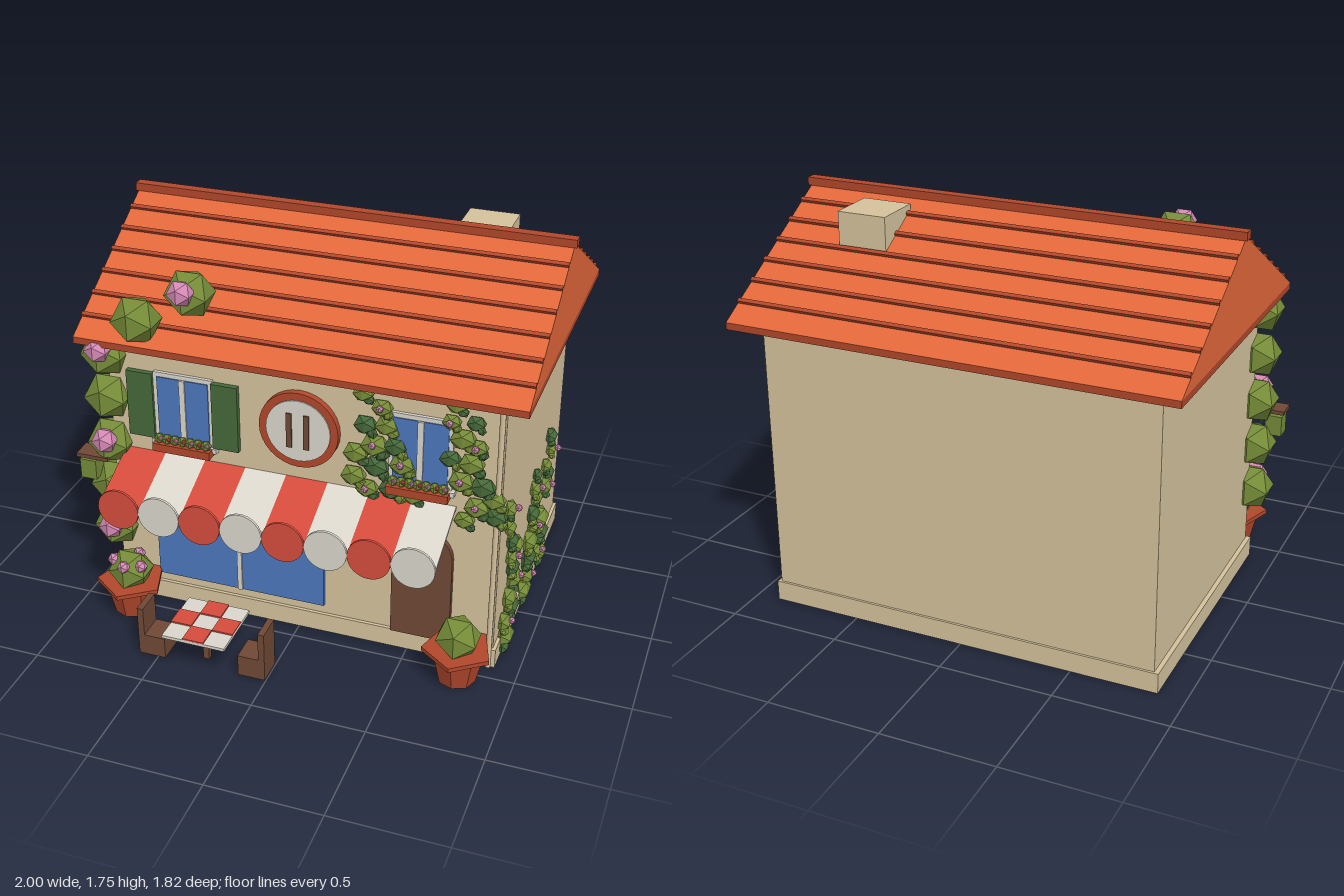
import * as THREE from 'three';

const material = (name, color) => {
  const m = new THREE.MeshStandardMaterial({ color });
  m.name = name;
  return m;
};

export function createModel() {
  const model = new THREE.Group();
  model.name = 'cottageShop';
  const wall = material('plaster', 0xd6c39d), tile = material('roofTile', 0xe2673a);
  const brick = material('terracotta', 0xb2482b), pale = material('offWhite', 0xdbd7cd);
  const red = material('awningRed', 0xd64c3d), blue = material('glassBlue', 0x4e78bd);
  const brown = material('darkWood', 0x704936), dark = material('shutterGreen', 0x46693a);
  const leaf = material('leafGreen', 0x768c38), pink = material('blossomPink', 0xd489b4);

  const add = (name, geometry, mat, x = 0, y = 0, z = 0) => {
    const mesh = new THREE.Mesh(geometry, mat);
    mesh.name = name;
    mesh.position.set(x, y, z);
    model.add(mesh);
    return mesh;
  };
  // Box given by its extents
  const box = (name, mat, x0, x1, y0, y1, z0, z1) =>
    add(name, new THREE.BoxGeometry(x1 - x0, y1 - y0, z1 - z0), mat, (x0 + x1) / 2, (y0 + y1) / 2, (z0 + z1) / 2);
  const ball = (name, mat, x, y, z, r) => add(name, new THREE.IcosahedronGeometry(r, 0), mat, x, y, z);
  const facet = (geometry) => {
    const g = geometry.toNonIndexed();
    g.computeVertexNormals();
    return g;
  };
  const disc = (name, mat, r, depth, x, y, z) =>
    add(name, new THREE.CylinderGeometry(r, r, depth, 32).rotateX(Math.PI / 2), mat, x, y, z);

  // House body
  box('walls', wall, -0.86, 0.88, 0, 1.3, -0.805, 0.41);
  box('plinth', wall, -0.88, 0.895, 0, 0.09, -0.815, 0.425);
  add('drainPipe', new THREE.CylinderGeometry(0.012, 0.012, 1.29, 10), wall, 0.865, 0.645, 0.425);

  // Roof: eaves slab, gabled prism, battens and ridge
  const x0 = -0.965, x1 = 0.985, length = x1 - x0, ridgeZ = -0.2, slope = Math.PI / 6;
  box('eaves', brick, x0, x1, 1.29, 1.32, -0.91, 0.51);
  const gable = new THREE.Shape([[-0.51, 1.32], [0.91, 1.32], [0.2, 1.73]].map((p) => new THREE.Vector2(...p)));
  const prism = new THREE.ExtrudeGeometry(gable, { depth: length, bevelEnabled: false }).rotateY(Math.PI / 2);
  add('roof', prism, tile, x0, 0, 0);
  for (const side of [-1, 1]) {
    for (let k = 1; k <= 6; k++) {
      const run = k * 0.102;
      const batten = add('roofBatten', new THREE.BoxGeometry(length, 0.016, 0.018), brick,
        (x0 + x1) / 2, 1.736 - run * 0.577, ridgeZ + side * run);
      batten.rotation.x = side * slope;
    }
  }
  box('ridgeCap', brick, -0.975, 0.997, 1.72, 1.755, -0.225, -0.178);
  box('chimney', wall, 0.47, 0.69, 1.45, 1.71, -0.49, -0.27);

  // Upper windows with sills and flower boxes
  for (const cx of [-0.513, 0.535]) {
    box('windowFrame', pale, cx - 0.135, cx + 0.135, 0.84, 1.17, 0.405, 0.425);
    box('windowGlass', blue, cx - 0.117, cx + 0.117, 0.86, 1.15, 0.424, 0.43);
    box('windowBar', pale, cx - 0.013, cx + 0.013, 0.86, 1.15, 0.424, 0.436);
    box('windowSill', pale, cx - 0.15, cx + 0.15, 0.825, 0.848, 0.405, 0.44);
    box('flowerBox', brick, cx - 0.132, cx + 0.132, 0.81, 0.847, 0.42, 0.475);
    for (let i = 0; i < 7; i++) {
      const x = cx - 0.108 + i * 0.036;
      ball('boxFoliage', leaf, x, 0.862, 0.447, 0.025);
      ball('boxFlower', i % 2 ? red : pink, x + 0.012, 0.872, 0.464, 0.011);
    }
  }
  for (const [a, b] of [[-0.77, -0.65], [-0.38, -0.262]]) box('shutter', dark, a, b, 0.85, 1.16, 0.405, 0.435);

  // Round wall sign
  disc('signRim', brick, 0.175, 0.03, 0.012, 1.015, 0.425);
  disc('signFace', pale, 0.142, 0.006, 0.012, 1.015, 0.443);
  for (const x of [-0.026, 0.05]) box('signBar', brown, x - 0.012, x + 0.012, 0.935, 1.095, 0.445, 0.453);

  // Shop window and arched door
  box('shopGlass', blue, -0.668, 0.118, 0.14, 0.575, 0.405, 0.43);
  box('shopWindowBar', pale, -0.285, -0.264, 0.14, 0.575, 0.41, 0.438);
  const arch = new THREE.Shape();
  arch.moveTo(-0.132, 0.09);
  arch.lineTo(0.132, 0.09);
  arch.lineTo(0.132, 0.505);
  arch.absarc(0, 0.505, 0.132, 0, Math.PI, false);
  arch.closePath();
  add('door', new THREE.ExtrudeGeometry(arch, { depth: 0.03, bevelEnabled: false }), brown, 0.558, 0, 0.405);

  // Striped awning with a scalloped edge
  const stripe = 0.1863;
  for (let i = 0; i < 8; i++) {
    const x = -0.8 + (i + 0.5) * stripe, mat = i % 2 ? pale : red;
    const panel = add('awningStripe', new THREE.BoxGeometry(stripe, 0.012, 0.318), mat, x, 0.703, 0.557);
    panel.rotation.x = Math.atan2(0.125, 0.29);
    disc('awningScallop', mat, stripe / 2, 0.012, x, 0.637, 0.706);
  }

  // Table with a chequered top
  box('tableTop', pale, -0.44, -0.155, 0.17, 0.184, 0.622, 0.908);
  box('tableLeg', brown, -0.311, -0.284, 0, 0.172, 0.752, 0.778);
  for (let i = 0; i < 9; i++) {
    if (i % 2 === 0) continue;
    const x = -0.44 + (i % 3) * 0.095, z = 0.622 + Math.floor(i / 3) * 0.0953;
    box('tableCheck', red, x, x + 0.095, 0.184, 0.191, z, z + 0.0953);
  }

  // Facing chairs
  for (const s of [-1, 1]) {
    const seat = box('chairSeat', brown, -0.06, 0.06, 0, 0.1, 0.712, 0.832);
    const back = box('chairBack', brown, -0.014, 0.014, 0, 0.235, 0.712, 0.832);
    seat.position.x = -0.297 + s * 0.23;
    back.position.x = -0.297 + s * 0.278;
  }

  // Potted bushes
  for (const x of [-0.757, 0.757]) {
    add('pot', facet(new THREE.CylinderGeometry(0.115, 0.083, 0.14, 8)), brick, x, 0.07, 0.54);
    add('potRim', facet(new THREE.CylinderGeometry(0.155, 0.155, 0.02, 5)), brick, x, 0.15, 0.54);
    ball('potBush', leaf, x, 0.212, 0.54, 0.102);
  }
  for (const [dx, y, dz] of [[-0.07, 0.26, 0.02], [0, 0.262, 0.07], [0.065, 0.255, 0.03], [0.03, 0.28, -0.03]])
    ball('potBlossom', pink, -0.757 + dx, y, 0.54 + dz, 0.03);

  // Climbing bush up the left corner and onto the roof
  for (const y of [0.36, 0.575, 0.79, 1.01, 1.22]) ball('climber', leaf, -0.868, y, 0.41, 0.11);
  for (const y of [0.385, 0.825, 1.265]) ball('climberBlossom', pink, -0.866, y, 0.487, 0.06);
  ball('roofBush', leaf, -0.69, 1.42, 0.46, 0.11);
  ball('roofBush', leaf, -0.49, 1.525, 0.355, 0.11);
  ball('roofBlossom', pink, -0.492, 1.56, 0.44, 0.06);

  // Side bracket with a hanging lantern
  box('lanternBracket', brown, -1, -0.85, 0.73, 0.748, 0.415, 0.51);
  box('lanternHook', brown, -0.957, -0.947, 0.7, 0.735, 0.458, 0.468);
  box('lantern', leaf, -0.99, -0.915, 0.622, 0.715, 0.425, 0.5);

  // Ivy: clumps as [across, height, radius], flattened against a wall
  const ivy = (clumps, onSide) => clumps.forEach(([u, y, r], i) => {
    const clump = ball('ivyClump', i % 3 === 2 ? dark : leaf, onSide ? 0.895 : u, y, onSide ? u : 0.425, r * 1.1);
    clump.scale.set(onSide ? 0.65 : 1, 0.85, onSide ? 1 : 0.65);
    const twin = ball('ivyLeaf', i % 2 ? leaf : dark, onSide ? 0.905 : u + r * 0.6, y - r * 0.5, onSide ? u + r * 0.6 : 0.435, r * 0.6);
    twin.scale.copy(clump.scale);
    twin.rotation.z = i;
    if (i % 3 === 1) ball('ivyBlossom', pink, onSide ? 0.93 : u, y + r * 0.3, onSide ? u : 0.462, 0.017);
  });
  ivy([[0.29, 1.235, 0.045], [0.37, 1.18, 0.045], [0.3, 1.09, 0.05], [0.39, 1.1, 0.05], [0.34, 1, 0.06], [0.43, 1.01, 0.05],
    [0.26, 0.95, 0.055], [0.46, 0.93, 0.055], [0.35, 0.9, 0.055], [0.25, 0.84, 0.055], [0.31, 0.79, 0.05],
    [0.42, 0.81, 0.06], [0.51, 0.79, 0.045]], false);
  ivy([[0.68, 1.25, 0.045], [0.66, 1.17, 0.04], [0.76, 1.18, 0.04], [0.71, 1.1, 0.055], [0.77, 1.07, 0.045], [0.66, 1, 0.045],
    [0.75, 0.99, 0.055], [0.71, 0.9, 0.055], [0.8, 0.89, 0.055], [0.85, 0.84, 0.05], [0.78, 0.79, 0.055],
    [0.86, 0.76, 0.05], [0.73, 0.72, 0.045]], false);
  ivy([[0.275, 0.07, 0.065], [0.29, 0.15, 0.05], [0.19, 0.17, 0.06], [0.23, 0.24, 0.055], [0.16, 0.3, 0.06], [0.2, 0.38, 0.05],
    [0.14, 0.455, 0.05], [0.23, 0.45, 0.045], [0.24, 0.54, 0.045], [0.29, 0.635, 0.04], [0.31, 0.74, 0.045]], true);
  ivy([[-0.07, 0.07, 0.055], [-0.14, 0.11, 0.055], [-0.14, 0.21, 0.06], [-0.15, 0.29, 0.06], [-0.21, 0.33, 0.045],
    [-0.19, 0.41, 0.05], [-0.25, 0.46, 0.045], [-0.21, 0.53, 0.045], [-0.24, 0.585, 0.035]], true);
  ivy([[-0.39, 0.08, 0.06], [-0.33, 0.12, 0.045], [-0.4, 0.19, 0.06], [-0.37, 0.28, 0.065], [-0.46, 0.4, 0.05],
    [-0.5, 0.45, 0.045], [-0.44, 0.52, 0.04], [-0.53, 0.56, 0.04], [-0.51, 0.64, 0.045]], true);

  return model;
}
